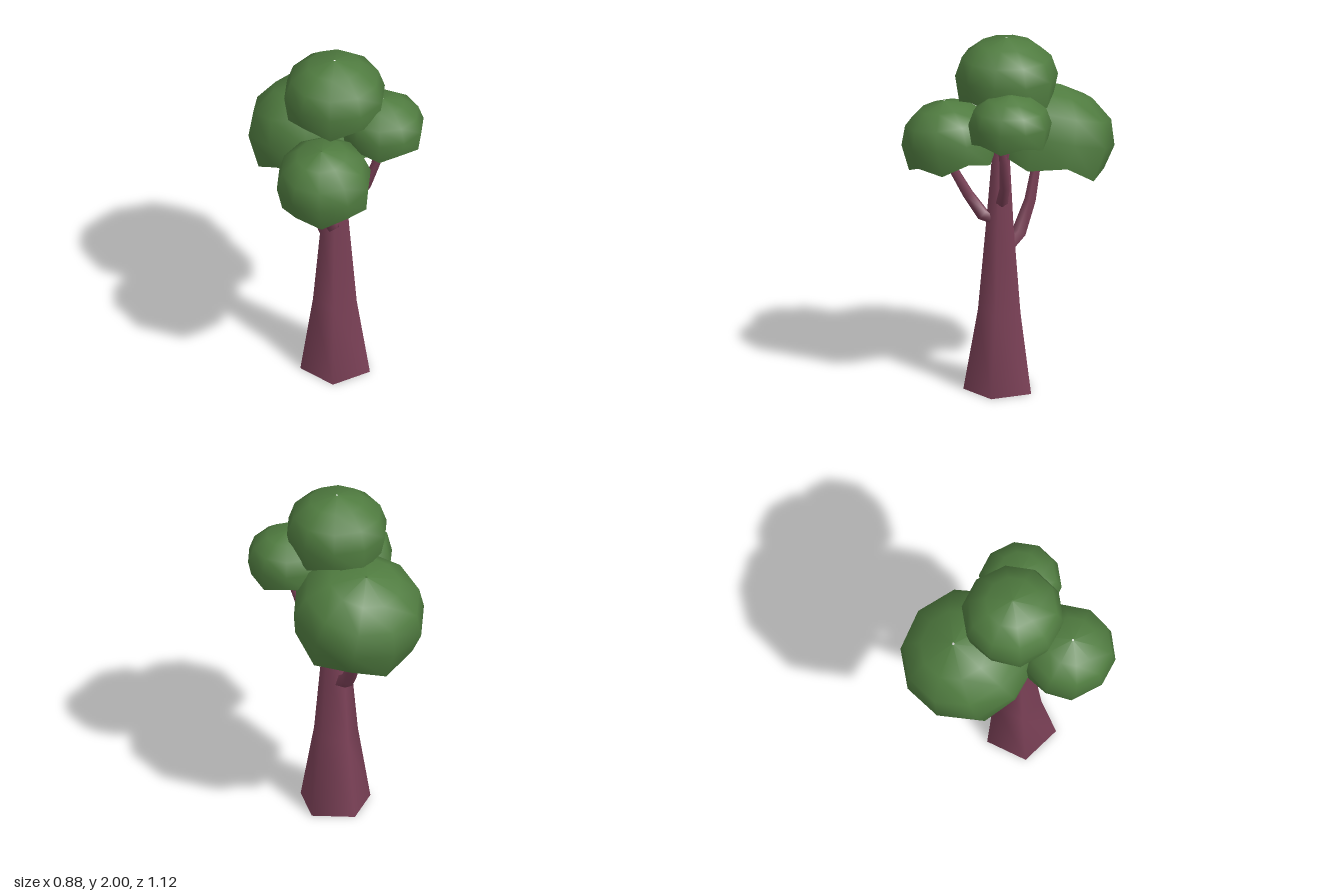
import * as THREE from 'three';

const bark = new THREE.MeshStandardMaterial({ color: 0x7a4056 });
bark.name = 'bark';
const leaf = new THREE.MeshStandardMaterial({ color: 0x507c40 });
leaf.name = 'leaf';

// Stitches rings of equal vertex count into a smooth skin
function addSkin(pos, idx, rings) {
  const n = rings[0].length, base = pos.length / 3;
  rings.forEach((ring) => ring.forEach((p) => pos.push(p.x, p.y, p.z)));
  for (let j = 0; j < rings.length - 1; j++) {
    for (let i = 0; i < n; i++) {
      const a = base + j * n + i, b = base + j * n + (i + 1) % n;
      idx.push(a, b, a + n, b, b + n, a + n);
    }
  }
}

// Closes a ring with its own vertices, so the edge stays sharp
function addFan(pos, idx, ring, centre, flip) {
  const n = ring.length, base = pos.length / 3;
  [...ring, centre].forEach((p) => pos.push(p.x, p.y, p.z));
  for (let i = 0; i < n; i++) {
    const a = base + i, b = base + (i + 1) % n, c = base + n;
    if (flip) idx.push(b, a, c);
    else idx.push(a, b, c);
  }
}

function buildMesh(name, pos, idx, material) {
  const g = new THREE.BufferGeometry();
  g.setAttribute('position', new THREE.Float32BufferAttribute(pos, 3));
  g.setIndex(idx);
  g.computeVertexNormals();
  const m = new THREE.Mesh(g, material);
  m.name = name;
  return m;
}

// Five-sided tapered limb through points [x, y, z, radius]
function limb(name, points) {
  const centres = points.map((p) => new THREE.Vector3(p[0], p[1], p[2]));
  const last = centres.length - 1;
  const rings = centres.map((c, j) => {
    const t = centres[Math.min(j + 1, last)].clone().sub(centres[Math.max(j - 1, 0)]).normalize();
    if (c.y === 0) t.set(0, 1, 0);
    const n = new THREE.Vector3(1, 0, 0).addScaledVector(t, -t.x).normalize();
    const b = t.clone().cross(n);
    return Array.from({ length: 5 }, (_, i) => {
      const a = Math.PI / 2 + (i * 2 * Math.PI) / 5, r = points[j][3];
      return c.clone().addScaledVector(n, r * Math.cos(a)).addScaledVector(b, r * Math.sin(a));
    });
  });
  const pos = [], idx = [];
  addSkin(pos, idx, rings);
  addFan(pos, idx, rings[0], centres[0], true);
  addFan(pos, idx, rings[last], centres[last], false);
  return buildMesh(name, pos, idx, bark);
}

// Ten-sided leaf dome with a zigzag rim and a nearly flat underside
function crown(name, centre, radius, height, tiltX = 0, tiltZ = 0) {
  const ring = (r, y) => Array.from({ length: 10 }, (_, i) => {
    const a = (i * Math.PI) / 5;
    return new THREE.Vector3(
      Math.sin(a) * r * radius, (typeof y === 'function' ? y(i) : y) * height, Math.cos(a) * r * radius);
  });
  const rim = ring(0.92, (i) => (i % 2 ? -0.7 : -0.5));
  const rings = [rim, ring(1, 0), ring(0.87, 0.5), ring(0.53, 0.85), ring(0.02, 1)];
  const pos = [], idx = [];
  addSkin(pos, idx, rings);
  addFan(pos, idx, rim, new THREE.Vector3(0, -0.45 * height, 0), true);
  const m = buildMesh(name, pos, idx, leaf);
  m.position.set(...centre);
  m.rotation.set(tiltX, 0, tiltZ);
  return m;
}

export function createModel() {
  const tree = new THREE.Group();
  tree.name = 'tree';

  // Trunk, reaching up into the top crown
  tree.add(limb('trunk', [
    [0, 0, 0.107, 0.199], [0, 0.45, 0.1, 0.125], [0, 0.95, 0.1, 0.08],
    [0, 1.33, 0.095, 0.052], [0, 1.55, 0.06, 0.035], [0, 1.75, 0.03, 0.025],
  ]));

  // Branches
  tree.add(
    limb('rightBranch', [
      [-0.02, 0.97, 0.12, 0.042], [-0.07, 0.99, 0.17, 0.037], [-0.13, 1.1, 0.22, 0.031],
      [-0.18, 1.24, 0.28, 0.026], [-0.2, 1.4, 0.31, 0.02],
    ]),
    limb('leftBranch', [
      [0.02, 1.08, 0.11, 0.036], [0.08, 1.1, 0.16, 0.034], [0.14, 1.2, 0.19, 0.029],
      [0.18, 1.36, 0.23, 0.025], [0.2, 1.56, 0.28, 0.018],
    ]),
    limb('leftTwig', [
      [0.17, 1.33, 0.225, 0.02], [0.19, 1.42, 0.22, 0.018], [0.2, 1.56, 0.205, 0.014],
    ]),
    limb('backBranch', [
      [0, 0.8, 0.06, 0.045], [0, 0.86, -0.03, 0.042], [0, 1.03, -0.11, 0.033],
      [0, 1.25, -0.16, 0.025], [0, 1.38, -0.18, 0.02],
    ]),
  );

  // Leaf crowns
  tree.add(
    crown('topCrown', [0.012, 1.79, 0.07], 0.28, 0.21),
    crown('backCrown', [0.045, 1.41, -0.2], 0.368, 0.27, -0.28),
    crown('rightCrown', [-0.195, 1.425, 0.302], 0.262, 0.21, 0.08, 0.12),
    crown('leftCrown', [0.224, 1.597, 0.225], 0.227, 0.165),
  );
  return tree;
}
